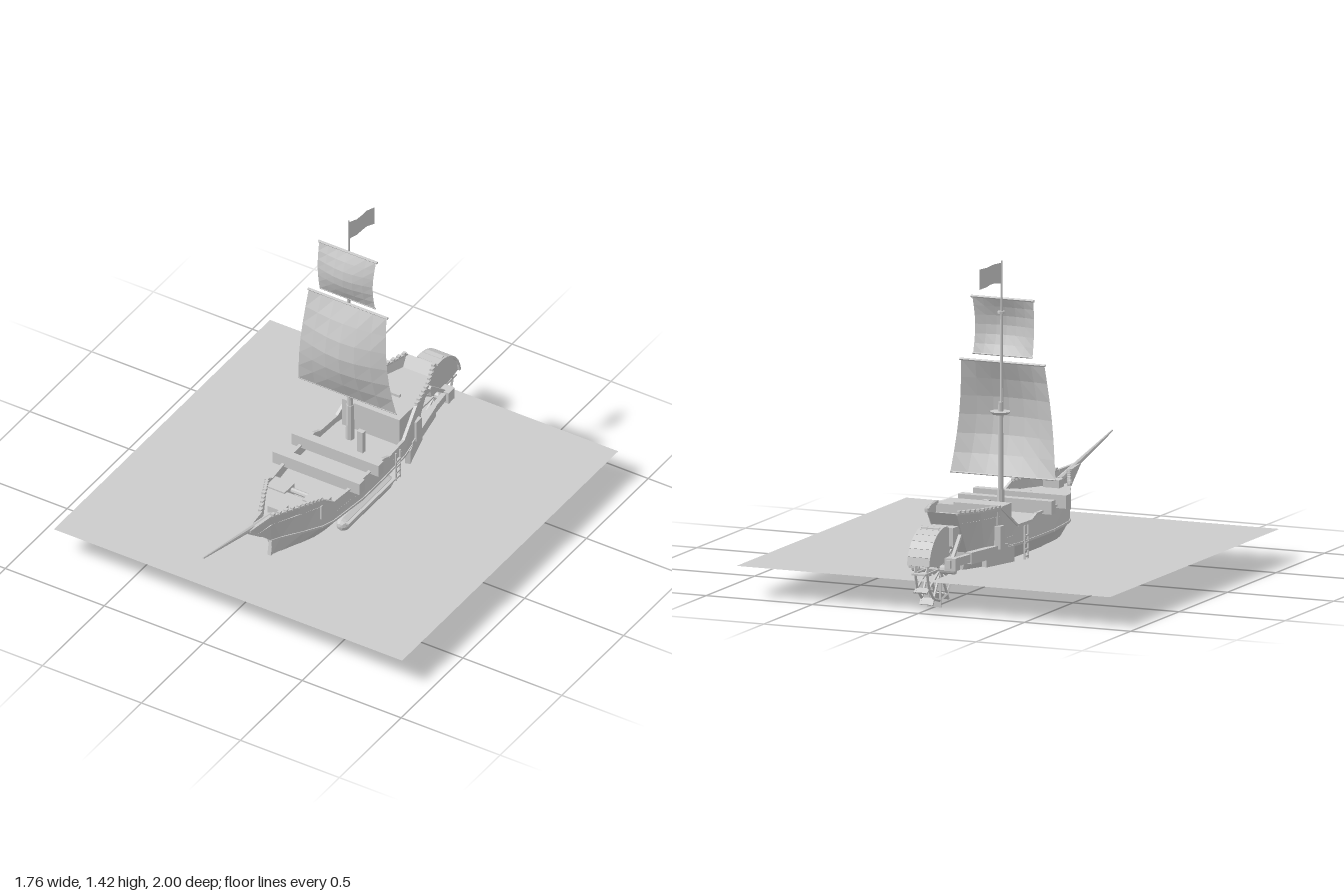
import * as THREE from 'three';

const mat = new THREE.MeshStandardMaterial({ color: 0xcccccc, flatShading: true });
const thin = new THREE.MeshStandardMaterial({ color: 0xcccccc, flatShading: true, side: THREE.DoubleSide });
const V = (x, y, z) => new THREE.Vector3(x, y, z);

export function createModel() {
  const root = new THREE.Group();
  const add = (name, geo, m = mat, parent = root) => {
    const mesh = new THREE.Mesh(geo, m);
    mesh.name = name;
    parent.add(mesh);
    return mesh;
  };
  const box = (name, x, y, z, w, h, d, parent = root) => {
    const b = add(name, new THREE.BoxGeometry(w, h, d), mat, parent);
    b.position.set(x, y, z);
    return b;
  };
  // square beam between two points
  const beam = (name, a, b, w, h, parent = root) => {
    const m = add(name, new THREE.BoxGeometry(w, h, a.distanceTo(b)), mat, parent);
    m.position.copy(a).add(b).multiplyScalar(0.5);
    m.lookAt(b);
    return m;
  };
  // round spar between two points
  const spar = (name, a, b, ra, rb, parent = root, sides = 8) => {
    const m = add(name, new THREE.CylinderGeometry(rb, ra, a.distanceTo(b), sides), mat, parent);
    m.position.copy(a).add(b).multiplyScalar(0.5);
    m.quaternion.setFromUnitVectors(V(0, 1, 0), b.clone().sub(a).normalize());
    return m;
  };
  // surface through rows of points
  const loft = rows => {
    const n = rows[0].length, idx = [];
    for (let i = 0; i < rows.length - 1; i++) for (let j = 0; j < n - 1; j++) {
      const a = i * n + j, b = a + n;
      idx.push(a, b, a + 1, b, b + 1, a + 1);
    }
    const g = new THREE.BufferGeometry().setFromPoints(rows.flat());
    g.setIndex(idx);
    g.computeVertexNormals();
    return g;
  };
  // side profile (z, y) given thickness across x
  const profile = (pts, width) => {
    const g = new THREE.ExtrudeGeometry(new THREE.Shape(pts.map(p => new THREE.Vector2(...p))), { depth: width, bevelEnabled: false });
    return g.translate(0, 0, -width / 2).rotateY(-Math.PI / 2);
  };

  // water sheet
  const water = add('water', new THREE.PlaneGeometry(1.76, 1.75).rotateX(-Math.PI / 2), thin);
  water.position.set(0, 0.133, -0.075);

  // hull stations: rail z, lower z, rail half width, rail y, wale half width
  const stations = [
    [0.64, 0.46, 0.008, 0.375, 0.008], [0.5, 0.42, 0.025, 0.37, 0.03],
    [0.35, 0.33, 0.095, 0.36, 0.095], [0.26, 0.26, 0.137, 0.352, 0.14],
    [0.2, 0.2, 0.156, 0.31, 0.16], [0, 0, 0.175, 0.31, 0.182],
    [-0.17, -0.17, 0.175, 0.31, 0.182], [-0.22, -0.22, 0.174, 0.29, 0.18],
    [-0.35, -0.35, 0.168, 0.29, 0.175], [-0.48, -0.46, 0.15, 0.385, 0.155],
    [-0.62, -0.56, 0.12, 0.39, 0.11], [-0.76, -0.63, 0.07, 0.4, 0.06]
  ];
  const section = ([zr, zl, hr, yr, hw]) => {
    const side = [[hr, yr, zr], [hw, 0.21, zl], [hw * 0.62, 0.122, zl], [Math.min(0.03, hw * 0.3), 0.065, zl]];
    return [...side.map(p => V(...p)), ...side.reverse().map(([x, y, z]) => V(-x, y, z))];
  };
  add('hull', loft(stations.map(section)), thin);
  const end = section(stations[11]);
  add('transom', loft([end.slice(0, 4), end.slice(4).reverse()]), thin);
  add('stem', profile([[0.66, 0.375], [0.56, 0.295], [0.45, 0.217], [0.477, 0.085], [0.43, 0.065], [0.4, 0.22], [0.5, 0.36]], 0.018));
  box('keel', 0, 0.067, -0.085, 0.025, 0.01, 1.03);
  add('rudder', profile([[-0.59, 0.065], [-0.61, 0.065], [-0.63, 0.18], [-0.6, 0.2]], 0.02));

  // decks inside the bulwarks
  const deck = (name, from, to, y) => add(name, loft(stations.slice(from, to + 1).map(([zr, zl, hr, yr, hw]) => {
    const t = (y - 0.21) / (yr - 0.21), x = hw + (hr - hw) * t, z = zl + (zr - zl) * t;
    return [V(-x, y, z), V(x, y, z)];
  })), thin);
  deck('foredeck', 0, 3, 0.315);
  deck('mainDeck', 3, 9, 0.25);
  deck('quarterDeck', 9, 11, 0.35);
  box('foredeckBulkhead', 0, 0.28, 0.26, 0.27, 0.07, 0.01);
  box('deckhouse', 0, 0.317, -0.428, 0.29, 0.14, 0.145);
  box('deckhouseRail', -0.04, 0.392, -0.498, 0.2, 0.014, 0.014);

  // rails, wales and bead rows on both sides
  for (const s of [-1, 1]) {
    const rail = stations.map(([zr, , hr, yr]) => V(s * hr, yr, zr));
    const wale = stations.map(([, zl, , , hw]) => V(s * hw, 0.21, zl));
    for (let i = 0; i < rail.length - 1; i++) {
      beam('rail', rail[i], rail[i + 1], 0.014, 0.009);
      beam('wale', wale[i], wale[i + 1], 0.008, 0.01);
      if (i === 1 || i === 2 || i >= 9) for (let k = 0; k < 5; k++) {
        const p = rail[i].clone().lerp(rail[i + 1], (k + 0.5) / 5);
        box('railBead', p.x, p.y + 0.007, p.z, 0.014, 0.012, 0.018);
      }
    }
    // quarter gallery and side door
    beam('quarterGallery', V(s * 0.165, 0.175, -0.39), V(s * 0.115, 0.175, -0.57), 0.025, 0.07);
    box('sideDoor', s * 0.148, 0.26, -0.487, 0.03, 0.1, 0.045);
    // boarding ladder
    for (const dz of [-0.017, 0.017]) box('ladderRail', s * 0.182, 0.19, -0.285 + dz, 0.006, 0.18, 0.006);
    for (let k = 0; k < 5; k++) box('ladderRung', s * 0.182, 0.115 + k * 0.03, -0.285, 0.008, 0.008, 0.038);
    // arms carrying the wheel
    beam('wheelArm', V(s * 0.15, 0.2, -0.43), V(s * 0.1, 0.2, -0.7), 0.03, 0.05);
    beam('wheelArm', V(s * 0.1, 0.2, -0.68), V(s * 0.08, 0.2, -0.87), 0.022, 0.036);
    box('wheelBearing', s * 0.085, 0.197, -0.835, 0.05, 0.055, 0.05);
    beam('wheelBrace', V(s * 0.07, 0.3, -0.72), V(s * 0.08, 0.21, -0.83), 0.014, 0.016);
    // hatch chests
    box('chest', s * 0.093, 0.287, 0.228, 0.095, 0.07, 0.08);
  }
  for (const z of [0.21, 0.25]) spar('windlass', V(-0.05, 0.3, z), V(0.05, 0.3, z), 0.012, 0.012);
  box('bowBitt', 0, 0.335, 0.395, 0.075, 0.035, 0.05);
  box('deckPost', 0.03, 0.31, -0.23, 0.03, 0.11, 0.022);

  // cross beams
  for (const z of [0.065, -0.088]) box('crossBeam', 0, 0.327, z, 0.44, 0.058, 0.042);

  // side boat
  const boat = add('sideBoat', new THREE.CapsuleGeometry(0.032, 0.35, 3, 8).rotateX(Math.PI / 2));
  boat.position.set(0.173, 0.165, -0.03);
  box('sideBoatRim', 0.177, 0.182, -0.03, 0.068, 0.008, 0.38);

  spar('bowsprit', V(0, 0.335, 0.45), V(0, 0.46, 1), 0.016, 0.004);

  // mast and its fittings
  const mx = -0.065, mz = -0.288;
  spar('mastFoot', V(mx, 0.25, mz - 0.005), V(mx, 0.43, mz - 0.005), 0.02, 0.017);
  spar('lowerMast', V(mx, 0.3, mz - 0.005), V(mx, 0.81, mz - 0.005), 0.014, 0.011);
  spar('topMast', V(mx, 0.74, mz + 0.005), V(mx, 1.26, mz + 0.005), 0.008, 0.006);
  spar('flagPole', V(mx, 1.2, mz + 0.005), V(mx, 1.425, mz + 0.005), 0.005, 0.004);
  spar('lookoutPlatform', V(mx, 0.758, mz - 0.01), V(mx, 0.77, mz - 0.01), 0.036, 0.046, root, 10);
  spar('mastCap', V(mx, 1.195, mz), V(mx, 1.205, mz), 0.016, 0.016);

  // bellied sails with a yard at head and foot
  const sail = (name, yTop, yBot, top, bot, belly, waist) => {
    const g = new THREE.Group();
    g.name = name;
    root.add(g);
    const rows = [];
    for (let i = 0; i <= 6; i++) {
      const t = i / 6, row = [], bow = Math.sin(Math.PI * t), e = t * t * 0.5 + t * 0.5;
      for (let j = 0; j <= 6; j++) {
        const u = j / 6;
        const l = top[0] + (bot[0] - top[0]) * e + waist * bow, r = top[1] + (bot[1] - top[1]) * t - waist * bow;
        row.push(V(l + (r - l) * u, yTop + (yBot - yTop) * t, -0.275 + belly * bow * (0.45 + 0.55 * Math.sin(Math.PI * u))));
      }
      rows.push(row);
    }
    add('sailCloth', loft(rows), thin, g);
    spar('upperYard', V(top[0] - 0.005, yTop, -0.278), V(top[1] + 0.005, yTop, -0.278), 0.006, 0.006, g, 6);
    spar('lowerYard', V(bot[0], yBot, -0.277), V(bot[1], yBot, -0.277), 0.004, 0.004, g, 6);
  };
  sail('mainSail', 0.98, 0.485, [-0.263, 0.13], [-0.315, 0.18], 0.078, 0);
  sail('topSail', 1.258, 1.01, [-0.21, 0.077], [-0.207, 0.073], 0.042, 0.003);

  // flag
  add('flag', loft([0, 1, 2, 3, 4].map(i => {
    const t = i / 4, x = mx + 0.035 * t + 0.008 * Math.sin(t * 6), z = -0.283 - 0.155 * t;
    return [V(x, 1.415 - 0.006 * t, z), V(x, 1.325 + 0.006 * Math.sin(t * 4), z)];
  })), thin);

  // paddle wheel
  const wheel = new THREE.Group();
  wheel.name = 'paddleWheel';
  wheel.position.set(0, 0.17, -0.835);
  root.add(wheel);
  for (const x of [-0.028, 0.028])
    add('wheelRim', new THREE.TorusGeometry(0.137, 0.007, 4, 12).rotateY(Math.PI / 2), mat, wheel).position.x = x;
  spar('axle', V(-0.1, 0, 0), V(0.1, 0, 0), 0.018, 0.018, wheel, 10);
  for (let k = 0; k < 12; k++) {
    const spoke = new THREE.Group();
    spoke.name = 'spoke';
    spoke.rotation.x = k * Math.PI / 6;
    wheel.add(spoke);
    for (const x of [-0.028, 0.028]) box('spokeBar', x, -0.085, 0, 0.008, 0.165, 0.008, spoke);
    box('paddle', 0, -0.15, 0, 0.064, 0.032, 0.007, spoke);
  }

  // arched wheel cover
  const arc = [];
  for (let i = 0; i <= 9; i++) {
    const a = Math.PI * (0.68 - 0.64 * i / 9);
    arc.push([-0.835 - 0.165 * Math.cos(a), 0.187 + 0.165 * Math.sin(a)]);
  }
  add('wheelCover', profile([...arc, [-0.9, 0.19], [-0.78, 0.2]], 0.085));
  for (let i = 2; i < 9; i++) beam('coverPlank', V(0, arc[i][1], arc[i][0]), V(0, arc[i + 1][1], arc[i + 1][0]), 0.105, 0.01);
  box('coverBlock', 0, 0.325, -0.84, 0.085, 0.06, 0.08);
  box('coverMount', 0, 0.3, -0.74, 0.12, 0.08, 0.07);
  return root;
}
